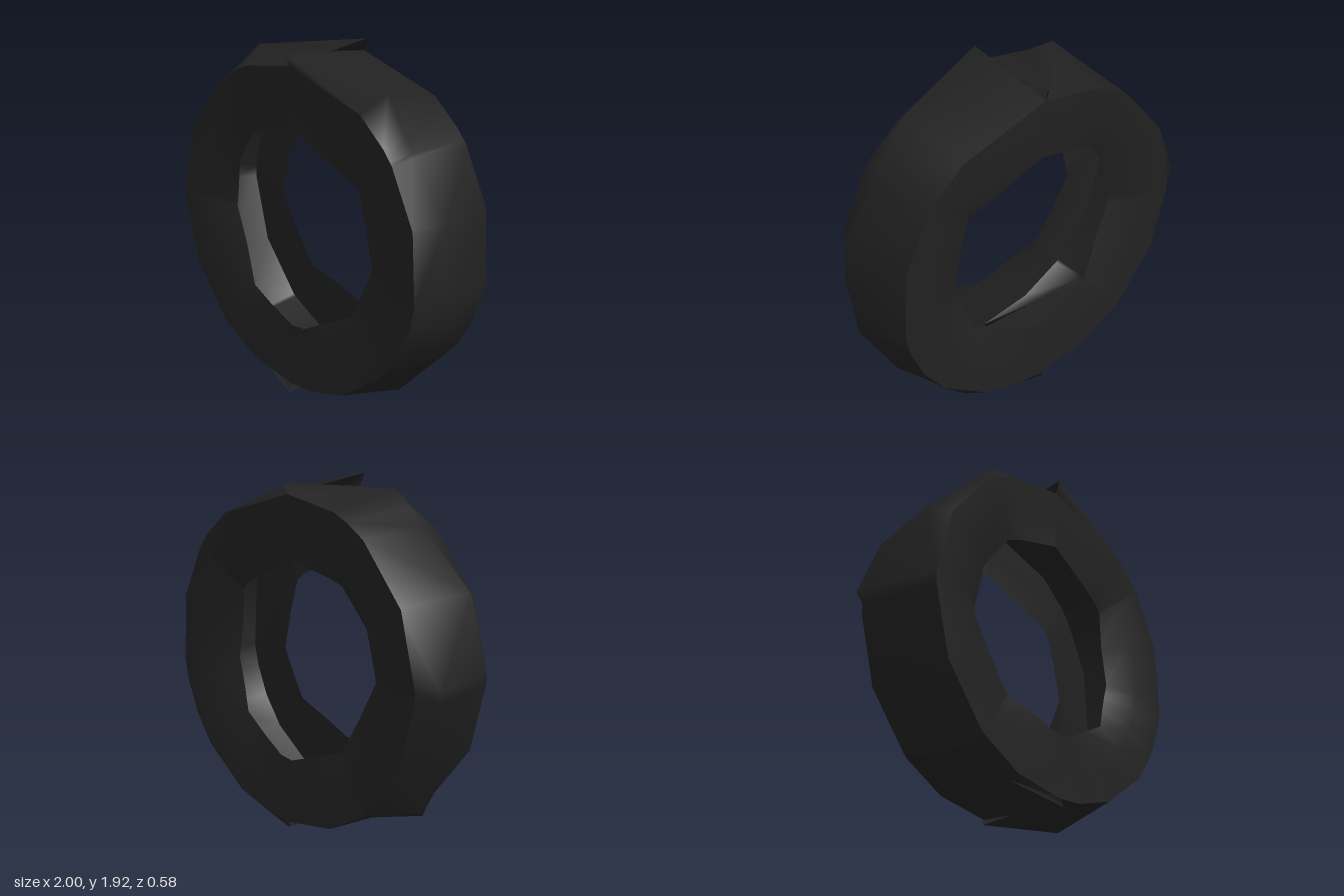
import * as THREE from 'three';

const CX = 0.03, CY = 0.95;          // ring centre
const FRONT = 0.26, BACK = -0.27;    // sidewall planes

// Tread crest of each half, top to bottom: x, y, z
const CREST = {
  left: [[0.03, 1.92, 0.29], [0.61, 1.79, 0.13], [0.78, 1.53, 0.13], [1, 1.22, 0.12],
    [1, 0.66, 0.08], [0.9, 0.48, -0.12], [0.48, 0.05, -0.13], [0.03, 0.02, -0.27]],
  right: [[0.03, 1.91, -0.29], [-0.36, 1.88, 0.13], [-0.87, 1.4, 0.15], [-1, 0.98, -0.2],
    [-0.8, 0.54, 0], [-0.6, 0.16, 0.12], [-0.3, 0.08, 0.2], [0.03, 0, 0.28]],
};

// Edge of the hole in each half, top to bottom: x, y
const HOLE = {
  left: [[0.03, 1.51], [0.44, 1.32], [0.48, 1.28], [0.56, 0.87], [0.45, 0.58], [0.12, 0.41], [0.03, 0.4]],
  right: [[0.03, 1.51], [-0.25, 1.44], [-0.33, 1.41], [-0.48, 1.2], [-0.53, 0.93], [-0.33, 0.52], [0.03, 0.4]],
};

// Angle from the top, 0 to PI, on either half
const angleOf = ([x, y]) => Math.atan2(Math.abs(x - CX), y - CY);

// Point where the ray at angle a meets a half outline
function pointAt(outline, a) {
  let i = 0;
  while (i < outline.length - 2 && angleOf(outline[i + 1]) < a) i++;
  const cross = ([x, y]) => Math.abs(x - CX) * Math.cos(a) - (y - CY) * Math.sin(a);
  const p = outline[i], q = outline[i + 1];
  const t = THREE.MathUtils.clamp(cross(p) / (cross(p) - cross(q)), 0, 1);
  return p.map((v, k) => v + (q[k] - v) * t);
}

// Smooth surface joining rows of points
function skin(rows, flip) {
  const n = rows[0].length, index = [];
  for (let r = 0; r < rows.length - 1; r++) {
    for (let c = 0; c < n - 1; c++) {
      const a = r * n + c, b = a + 1, d = a + n, e = d + 1;
      index.push(...(flip ? [a, d, b, b, d, e] : [a, b, d, b, e, d]));
    }
  }
  const geometry = new THREE.BufferGeometry();
  geometry.setAttribute('position', new THREE.Float32BufferAttribute(rows.flat(2), 3));
  geometry.setIndex(index);
  geometry.computeVertexNormals();
  return geometry;
}

export function createModel() {
  const rubber = new THREE.MeshStandardMaterial({ color: 0x212121, side: THREE.DoubleSide });
  rubber.name = 'black rubber';
  const model = new THREE.Group();
  model.name = 'tire';

  for (const side of ['left', 'right']) {
    const half = new THREE.Group();
    half.name = side + 'Half';
    const s = side === 'left' ? 1 : -1;
    const crest = CREST[side], hole = HOLE[side];

    // One cross-section at every corner of the two outlines, open towards the hub
    const angles = [...crest, ...hole].map(angleOf).sort((a, b) => a - b)
      .filter((a, i, all) => i === 0 || a - all[i - 1] > 0.01);
    const sections = angles.map((a) => {
      const [hx, hy] = pointAt(hole, a);
      const shoulder = 0.9 + 0.025 * Math.sin(a);
      const ox = CX + s * shoulder * Math.sin(a), oy = CY + shoulder * Math.cos(a);
      // The sidewall stays flat to its middle, then dips towards the lip
      const mx = hx + (ox - hx) * 0.45, my = hy + (oy - hy) * 0.45;
      const lip = 0.17 + 0.08 * Math.cos(a) ** 2;
      return [[hx, hy, lip], [mx, my, FRONT - 0.01], [ox, oy, FRONT], pointAt(crest, a),
        [ox, oy, BACK], [mx, my, BACK + 0.01], [hx, hy, -lip]];
    });

    // Columns of the cross-section used by each part
    const parts = { frontSidewall: [0, 1, 2], tread: [2, 3, 4], backSidewall: [4, 5, 6] };
    for (const [name, columns] of Object.entries(parts)) {
      const rows = sections.map((section) => columns.map((c) => section[c]));
      const mesh = new THREE.Mesh(skin(rows, s > 0), rubber);
      mesh.name = name;
      half.add(mesh);
    }
    model.add(half);
  }
  return model;
}
